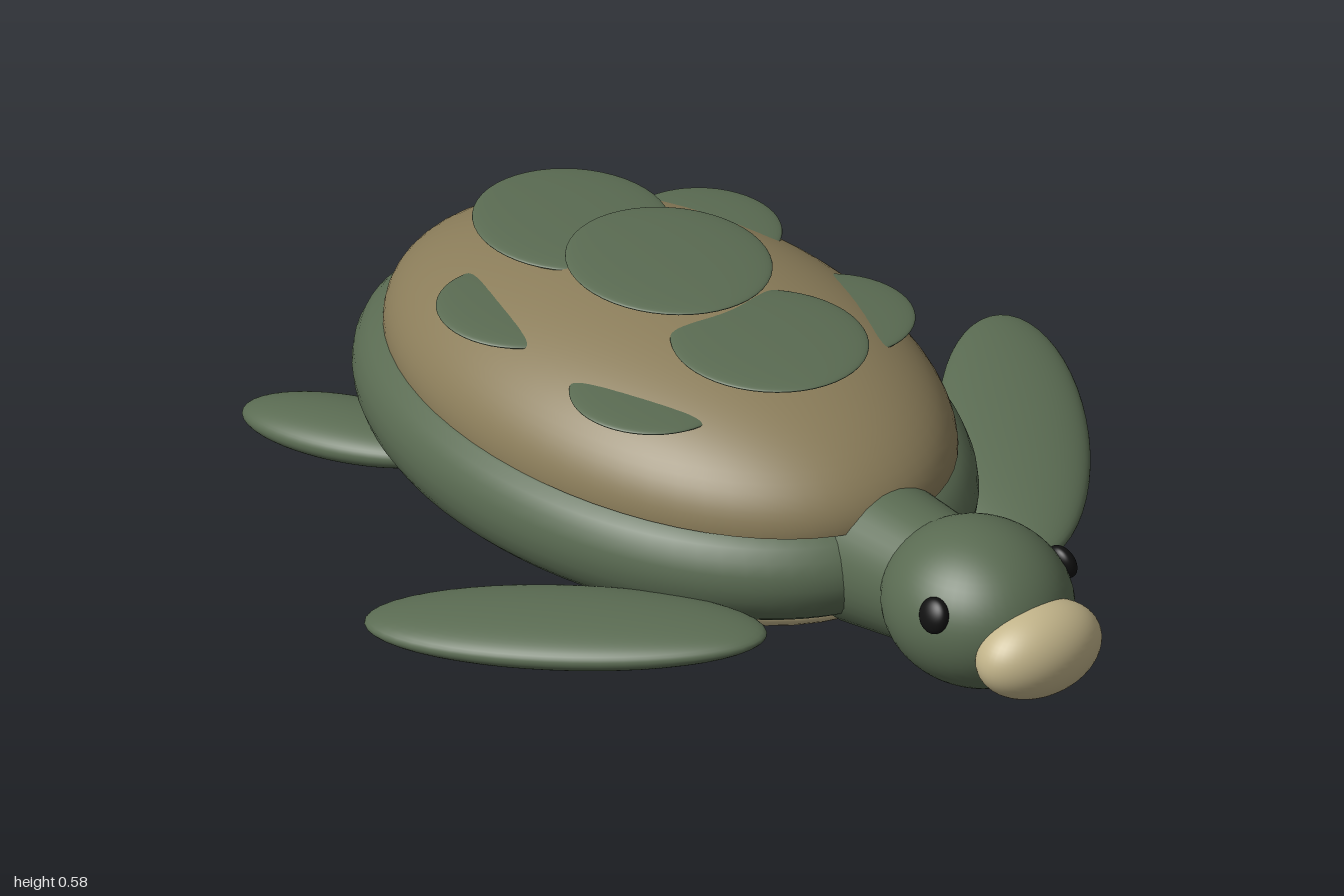
import * as THREE from 'three';

const mat = (name, color) => {
  const m = new THREE.MeshStandardMaterial({ color });
  m.name = name;
  return m;
};

export function createModel() {
  const skin = mat('sea green', 0x5a6b52);
  const brown = mat('shell brown', 0x8b7d5a);
  const cream = mat('cream', 0xc2b48a);
  const black = mat('eye black', 0x111111);

  const turtle = new THREE.Group();
  turtle.name = 'turtle';
  const ball = new THREE.SphereGeometry(1, 48, 32);

  const add = (name, geometry, material, pos, scale = [1, 1, 1], rot = [0, 0, 0]) => {
    const mesh = new THREE.Mesh(geometry, material);
    mesh.name = name;
    mesh.position.set(...pos);
    mesh.scale.set(...scale);
    mesh.rotation.set(...rot);
    turtle.add(mesh);
    return mesh;
  };
  const blob = (name, material, pos, radii, rot) => add(name, ball, material, pos, radii, rot);

  const cx = -0.18; // middle of the body

  // Domed shell over a rounded rim, with the belly closing the underside
  const dome = new THREE.SphereGeometry(1, 64, 24, 0, Math.PI * 2, 0, Math.PI / 2);
  add('shell', dome, brown, [cx + 0.01, 0.31, 0], [0.665, 0.24, 0.43]);
  const rim = new THREE.TorusGeometry(0.585, 0.13, 24, 80).rotateX(Math.PI / 2);
  add('shellRim', rim, skin, [cx - 0.005, 0.215, 0], [1, 0.81, 0.67]);
  blob('belly', cream, [cx + 0.02, 0.105, 0], [0.59, 0.102, 0.38]);

  // Flat shell plates, partly sunk into the dome
  blob('topPlate', skin, [cx + 0.005, 0.57, 0], [0.207, 0.015, 0.185]);
  for (const end of [-1, 1]) {
    blob('endPlate', skin, [cx + 0.01 + end * 0.29, 0.53, 0], [0.195, 0.015, 0.18]);
    for (const side of [-1, 1]) {
      blob('sidePlate', skin, [cx + 0.025 + end * 0.195, end < 0 ? 0.475 : 0.465, side * 0.225],
        [0.155, 0.015, 0.148]);
    }
  }

  // Neck, head and beak
  const neck = new THREE.CylinderGeometry(0.13, 0.15, 0.2, 40).rotateZ(-Math.PI / 2);
  add('neck', neck, skin, [0.52, 0.225, 0], [1, 1, 0.95], [0, 0, 0.08]);
  blob('head', skin, [0.73, 0.243, 0], [0.193, 0.157, 0.175]);
  blob('beak', cream, [0.908, 0.22, 0], [0.09, 0.09, 0.135]);

  // Paired eyes and flippers; the flipper tilt follows the side
  for (const s of [-1, 1]) {
    blob('eye', black, [0.79, 0.297, s * 0.156], [0.035, 0.035, 0.02], [-s * 0.3, 0, 0]);
    blob('frontFlipper', skin, [0.18, 0.14, s * 0.545], [0.39, 0.046, 0.14], [0, s * 0.62, s * 0.1]);
    blob('hindFlipper', skin, [-0.665, 0.118, s * 0.362], [0.233, 0.043, 0.1], [0, -s * -0.35, s * 0.08]);
  }

  // Pointed tail
  const tail = new THREE.ConeGeometry(0.06, 0.2, 24).rotateZ(Math.PI / 2);
  add('tail', tail, skin, [-0.9, 0.12, 0], [1, 1, 1], [0, 0, 0.05]);

  return turtle;
}
